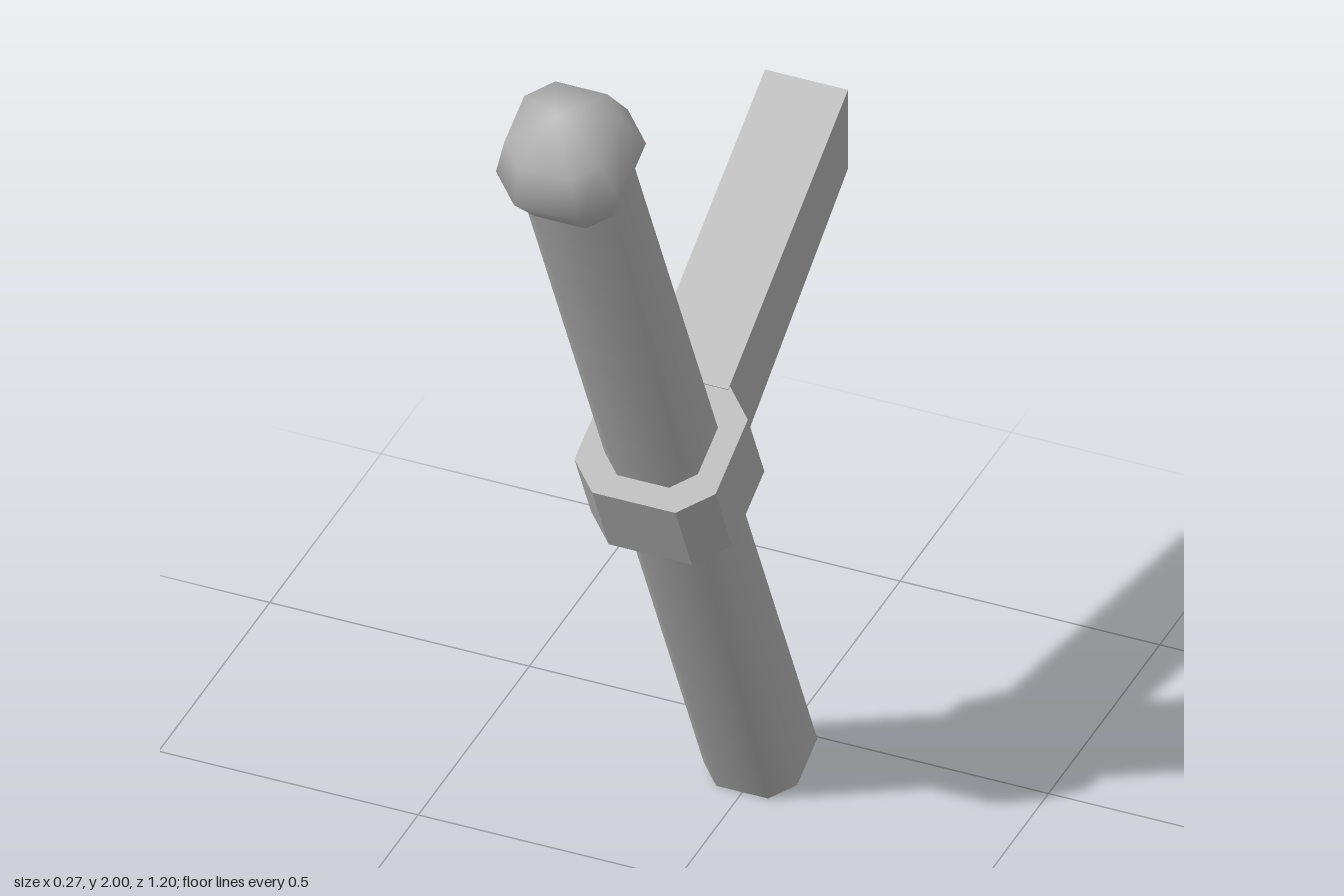
import * as THREE from 'three';

const TILT = THREE.MathUtils.degToRad(25);

// Octagonal loft along y from [halfWidth, halfFlat, height] rings;
// bottom / top are heights of the closing points (null leaves that end open).
function octLoft(rings, bottom, top) {
  const pos = [], idx = [], n = 8;
  for (const [a, b, y] of rings) {
    const oct = [[a, -b], [a, b], [b, a], [-b, a], [-a, b], [-a, -b], [-b, -a], [b, -a]];
    for (const [x, z] of oct) pos.push(x, y, z);
  }
  for (let i = 0; i < rings.length - 1; i++) {
    for (let j = 0; j < n; j++) {
      const k = (j + 1) % n;
      const a = i * n + j, b = i * n + k;
      idx.push(a, a + n, b, b, a + n, b + n);
    }
  }
  const cap = (y, start, up) => {
    const c = pos.length / 3;
    pos.push(0, y, 0);
    for (let j = 0; j < n; j++) {
      const p = start + j, q = start + (j + 1) % n;
      if (up) idx.push(c, q, p);
      else idx.push(c, p, q);
    }
  };
  if (bottom !== null) cap(bottom, 0, false);
  if (top !== null) cap(top, (rings.length - 1) * n, true);
  const g = new THREE.BufferGeometry();
  g.setAttribute('position', new THREE.Float32BufferAttribute(pos, 3));
  g.setIndex(idx);
  g.computeVertexNormals();
  return g;
}

export function createModel() {
  const model = new THREE.Group();
  const grey = new THREE.MeshStandardMaterial({ color: 0xb0b0b0 });
  grey.name = 'grey';

  const add = (parent, name, geometry) => {
    const mesh = new THREE.Mesh(geometry, grey);
    mesh.name = name;
    parent.add(mesh);
    return mesh;
  };

  // Leaning lever: shaft, knob and collar share one tilted axis
  const lever = new THREE.Group();
  lever.name = 'lever';
  lever.position.set(0, 0.04, -0.372);
  lever.rotation.x = TILT;
  model.add(lever);

  add(lever, 'shaft', octLoft([[0.09, 0.05, 0], [0.09, 0.05, 1.94]], 0, null));

  // Rounded knob on the upper end
  add(lever, 'knob', octLoft([
    [0.09, 0.05, 1.94],
    [0.12, 0.063, 2.018],
    [0.093, 0.05, 2.108],
  ], null, 2.162));

  // Faceted collar with hard edges
  const collar = octLoft([[0.136, 0.08, 0.882], [0.136, 0.08, 1.058]], 0.882, 1.058).toNonIndexed();
  collar.computeVertexNormals();
  add(lever, 'collar', collar);

  // Rear arm: side profile (backward, up) extruded across x, cut upright at the end
  const profile = new THREE.Shape([
    [0.115, 0.895], [0.6, 1.17], [0.6, 1.34], [0.04, 1.055],
  ].map(([back, up]) => new THREE.Vector2(back, up)));
  const arm = new THREE.ExtrudeGeometry(profile, { depth: 0.16, bevelEnabled: false });
  arm.translate(0, 0, -0.08);
  arm.rotateY(Math.PI / 2);
  // Slight sideways drift toward the far end
  const p = arm.attributes.position;
  for (let i = 0; i < p.count; i++) {
    if (p.getZ(i) < -0.5) p.setX(i, p.getX(i) - 0.009);
  }
  arm.computeVertexNormals();
  add(model, 'rearArm', arm);

  return model;
}
